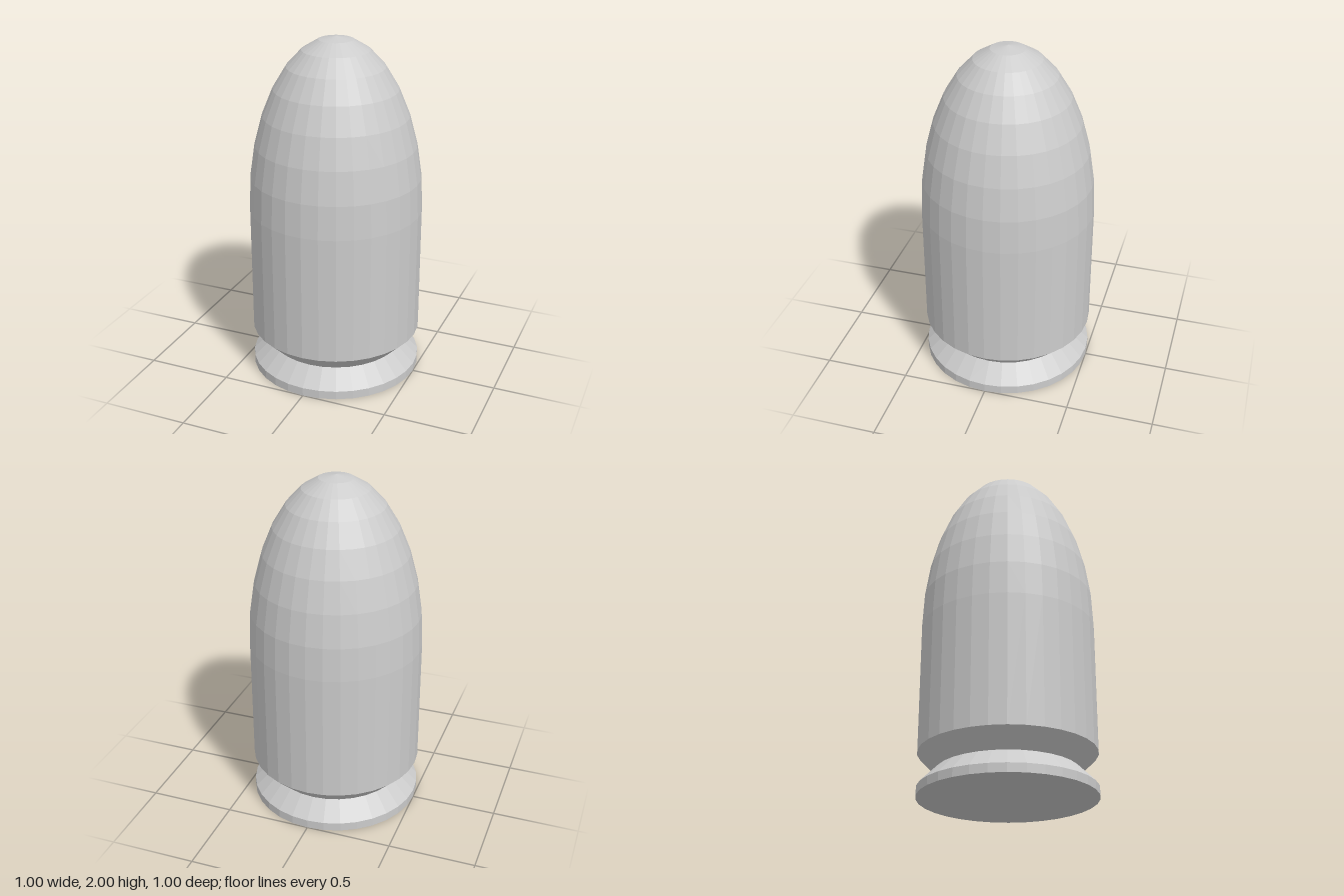
import * as THREE from 'three';

const SIDES = 32;
const RADIUS = 0.5;
const GROOVE_RADIUS = 0.4;

const material = new THREE.MeshStandardMaterial({ color: 0xcccccc, flatShading: true });

// Faceted mesh with one normal per face
function addPart(group, name, geometry) {
  const faceted = geometry.toNonIndexed();
  faceted.computeVertexNormals();
  const mesh = new THREE.Mesh(faceted, material);
  mesh.name = name;
  group.add(mesh);
}

// Open ring wall between two heights
function wall(rBottom, rTop, yBottom, yTop) {
  return new THREE.CylinderGeometry(rTop, rBottom, yTop - yBottom, SIDES, 1, true)
    .translate(0, (yBottom + yTop) / 2, 0);
}

export function createModel() {
  const group = new THREE.Group();
  group.name = 'bullet';

  // Rim and extractor groove
  addPart(group, 'base', new THREE.CircleGeometry(RADIUS, SIDES).rotateX(Math.PI / 2));
  addPart(group, 'rim', wall(RADIUS, RADIUS, 0, 0.05));
  addPart(group, 'grooveLower', wall(RADIUS, GROOVE_RADIUS, 0.05, 0.15));
  addPart(group, 'grooveUpper', wall(GROOVE_RADIUS, RADIUS, 0.15, 0.25));

  // Straight casing
  addPart(group, 'casing', wall(RADIUS, RADIUS, 0.25, 1));

  // Half-ellipsoid nose
  const nose = new THREE.SphereGeometry(RADIUS, SIDES, 8, 0, Math.PI * 2, 0, Math.PI / 2)
    .scale(1, 2, 1)
    .translate(0, 1, 0);
  addPart(group, 'nose', nose);

  return group;
}
